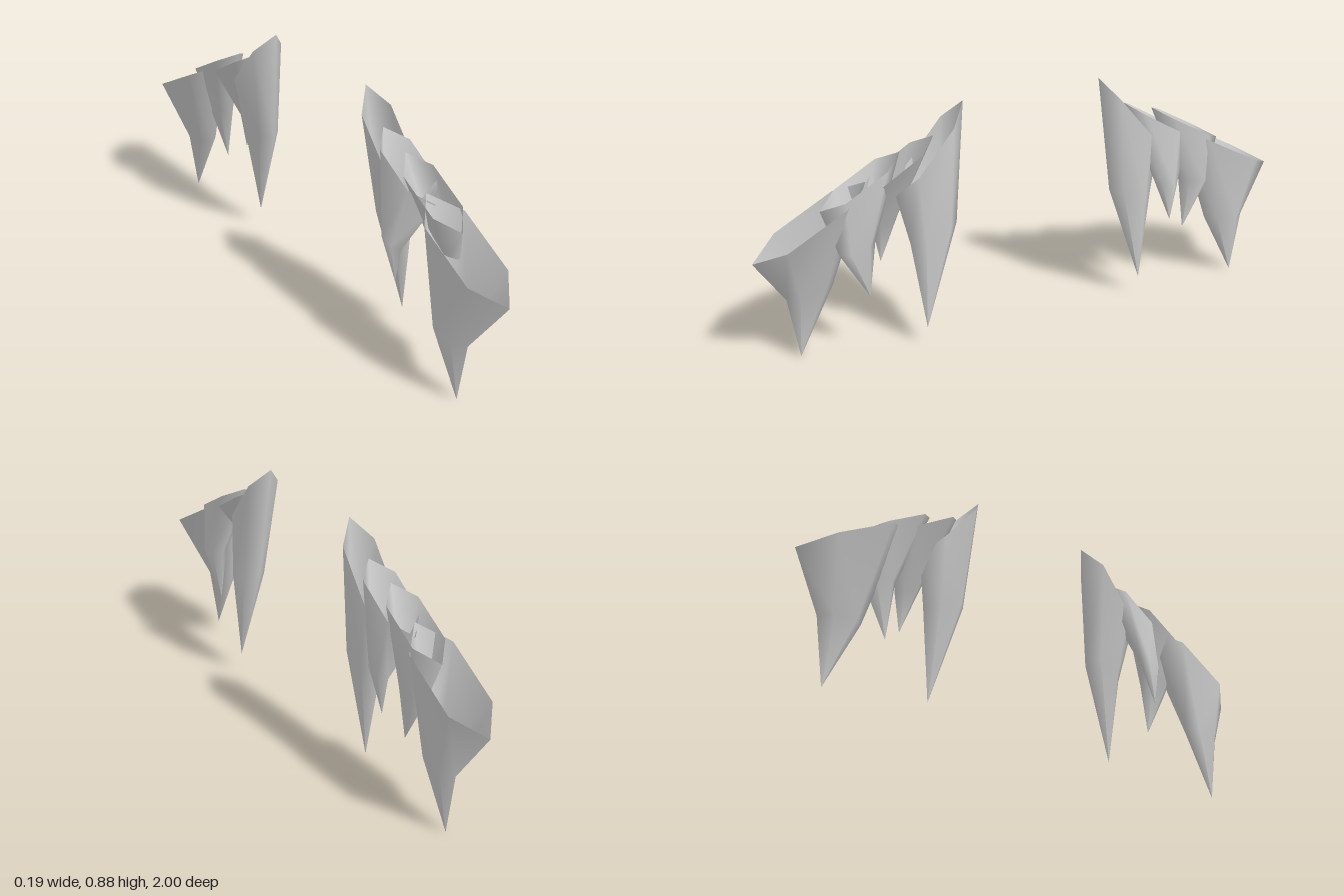
import * as THREE from 'three';

const material = new THREE.MeshStandardMaterial({ color: 0xcccccc, side: THREE.DoubleSide });

// Stretched hexagon: centre x, half width, then z and y at its inner and outer points
function hexRing([cx, w, zIn, yIn, zOut, yOut]) {
  const corners = [[0, 0], [1, 0.23], [1, 0.75], [0, 1], [-1, 0.75], [-1, 0.23]];
  return corners.map(([s, t]) => [cx + s * w, yIn + (yOut - yIn) * t, zIn + (zOut - zIn) * t]);
}

// Open hollow shard: hexagonal rim, narrower waist, and a pointed tip.
// The tip is repeated per side so that shading stays even down to the point.
function makeShard(name, rim, waist, tip, side) {
  const points = [...hexRing(rim), ...hexRing(waist), ...Array(6).fill(tip)];
  const index = [];
  const face = (a, b, c) => (side > 0 ? index.push(a, b, c) : index.push(a, c, b));
  for (let i = 0; i < 6; i++) {
    const j = (i + 1) % 6;
    face(i, j, 6 + j);
    face(i, 6 + j, 6 + i);
    face(6 + i, 6 + j, 12 + i);
  }
  const geometry = new THREE.BufferGeometry();
  const flat = points.flatMap(([x, y, z]) => [x, y, z * side]);
  geometry.setAttribute('position', new THREE.Float32BufferAttribute(flat, 3));
  geometry.setIndex(index);
  geometry.computeVertexNormals();
  const mesh = new THREE.Mesh(geometry, material);
  mesh.name = name;
  return mesh;
}

// One row of four overlapping shards; the lower ends lean by the given x positions
function makeRow(name, side, lean) {
  const row = new THREE.Group();
  row.name = name;
  row.add(
    makeShard('outerShard',
      [-0.004, 0.084, 0.6, 0.635, 1, 0.415],
      [lean.outer, 0.035, 0.72, 0.25, 0.885, 0.23],
      [lean.outer, 0, 0.85], side),
    makeShard('lowerMiddleShard',
      [0.007, 0.062, 0.48, 0.725, 0.765, 0.563],
      [lean.lower, 0.031, 0.592, 0.44, 0.72, 0.41],
      [lean.lower, 0.232, 0.62], side),
    makeShard('upperMiddleShard',
      [0.012, 0.062, 0.36, 0.765, 0.63, 0.6],
      [lean.upper, 0.023, 0.47, 0.46, 0.565, 0.43],
      [lean.upper, 0.295, 0.54], side),
    makeShard('innerShard',
      [0.02, 0.061, 0.255, 0.875, 0.505, 0.575],
      [lean.inner - 0.016, 0.042, 0.3, 0.45, 0.47, 0.4],
      [lean.inner, 0.073, 0.425], side),
  );
  return row;
}

export function createModel() {
  const model = new THREE.Group();
  model.name = 'shardRows';
  model.add(
    makeRow('frontRow', 1, { outer: -0.056, lower: 0.046, upper: -0.069, inner: 0.066 }),
    makeRow('backRow', -1, { outer: 0.027, lower: 0.033, upper: 0.07, inner: 0.053 }),
  );
  return model;
}
